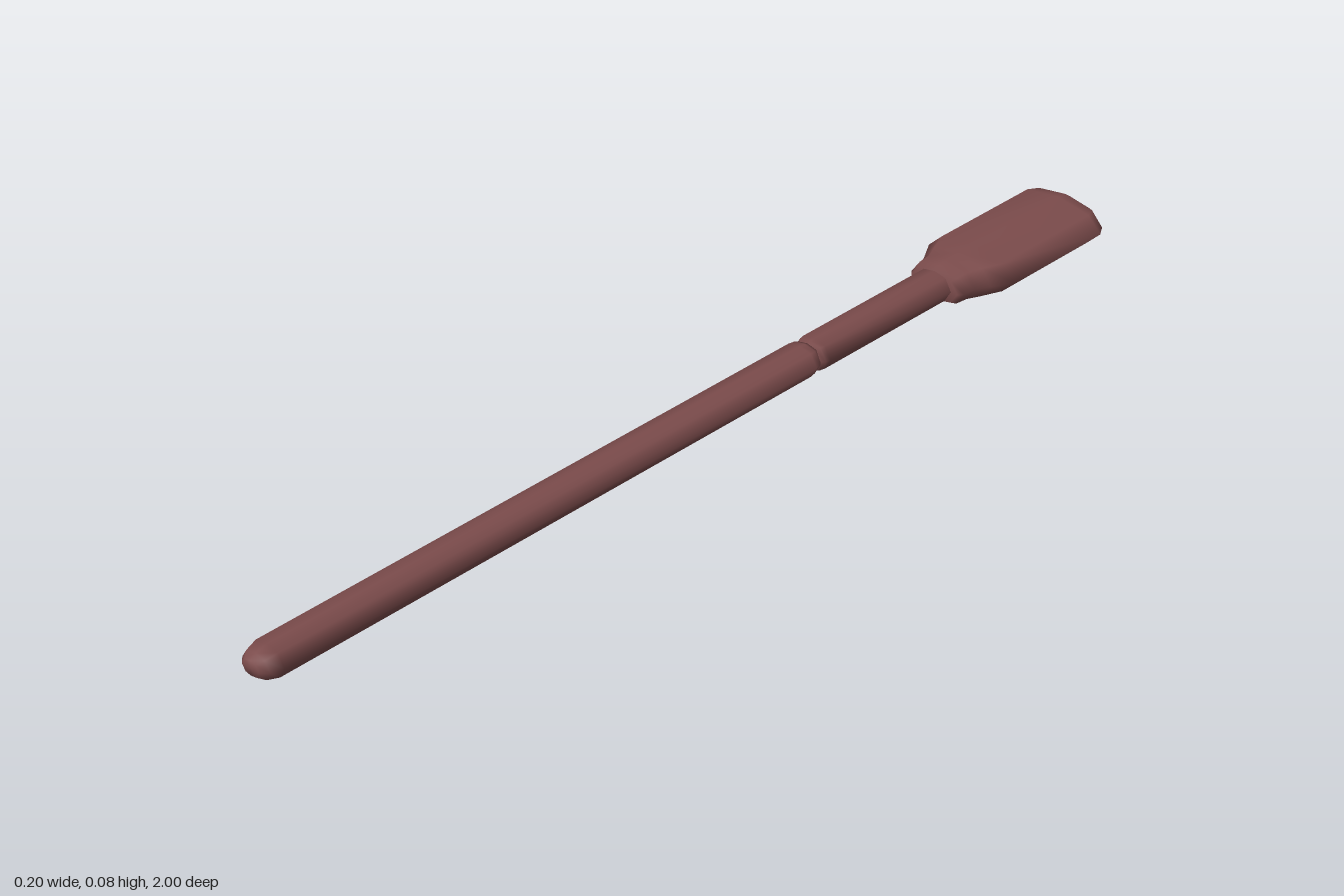
import * as THREE from 'three';

const CENTER_Y = 0.04;

// Flattened octagonal ring; cx, cy place the shoulder corners
function ring(w, h, z, cx, cy) {
  const x = w * cx, y = h * cy;
  return [[w, 0], [x, y], [0, h], [-x, y], [-w, 0], [-x, -y], [0, -h], [x, -y]]
    .map(([px, py]) => [px, py + CENTER_Y, z]);
}

// Closed loft through sections [z, halfWidth, halfHeight], ordered from +z to -z
function loft(sections, cx, cy) {
  const n = 8, pos = [], idx = [];
  for (const [z, w, h] of sections) pos.push(...ring(w, h, z, cx, cy).flat());
  for (let s = 0; s < sections.length - 1; s++) {
    for (let i = 0; i < n; i++) {
      const a = s * n + i, b = s * n + (i + 1) % n;
      idx.push(a, a + n, b, b, a + n, b + n);
    }
  }
  // End caps
  const last = (sections.length - 1) * n;
  for (const [base, front] of [[0, true], [last, false]]) {
    const c = pos.length / 3;
    pos.push(0, CENTER_Y, sections[base / n][0]);
    for (let i = 0; i < n; i++) {
      const a = base + i, b = base + (i + 1) % n;
      idx.push(c, front ? a : b, front ? b : a);
    }
  }
  const g = new THREE.BufferGeometry();
  g.setAttribute('position', new THREE.Float32BufferAttribute(pos, 3));
  g.setIndex(idx);
  g.computeVertexNormals();
  return g;
}

export function createModel() {
  const group = new THREE.Group();
  group.name = 'spatula';
  const material = new THREE.MeshStandardMaterial({ color: 0x7c4c4c });

  const add = (name, sections, cx, cy) => {
    const mesh = new THREE.Mesh(loft(sections, cx, cy), material);
    mesh.name = name;
    group.add(mesh);
  };

  // Long grip with a rounded tip, pinched at the joint
  add('handle', [
    [1.0, 0.02, 0.014], [0.988, 0.033, 0.022], [0.965, 0.04, 0.028],
    [-0.255, 0.04, 0.028], [-0.268, 0.037, 0.027], [-0.276, 0.03, 0.025],
  ], 0.65, 0.83);

  // Short shaft between the joint and the head
  add('shaft', [
    [-0.274, 0.03, 0.025], [-0.282, 0.037, 0.027], [-0.292, 0.039, 0.028],
    [-0.64, 0.039, 0.028],
  ], 0.65, 0.83);

  // Flat head: collar, flare, blade and rounded end
  add('head', [
    [-0.615, 0.054, 0.03], [-0.625, 0.062, 0.036], [-0.652, 0.064, 0.038],
    [-0.68, 0.079, 0.04], [-0.72, 0.102, 0.04], [-0.965, 0.102, 0.04],
    [-0.988, 0.088, 0.037], [-1.0, 0.066, 0.028],
  ], 0.71, 0.72);

  return group;
}
